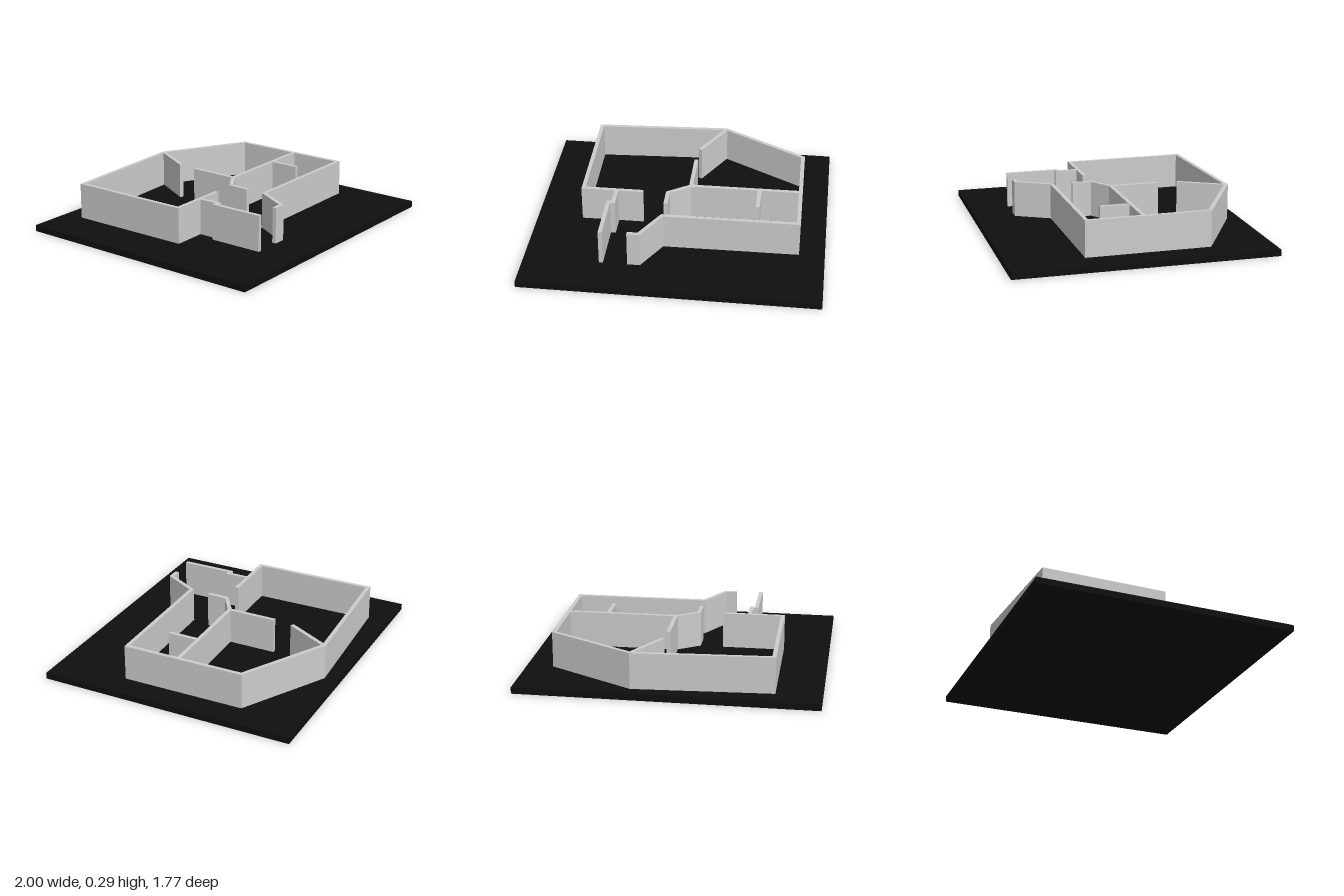
import * as THREE from 'three';

const BASE_H = 0.043, TOP = 0.288, THICK = 0.027;

// Upright wall of constant thickness along a floor-plan path of [x, z] points, with mitred corners
function wall(name, path, material) {
  const pts = path.map(([x, z]) => new THREE.Vector2(x, -z));
  const left = [], right = [];
  pts.forEach((p, i) => {
    const before = pts[Math.max(i - 1, 0)], after = pts[Math.min(i + 1, pts.length - 1)];
    const dirIn = (i ? p.clone().sub(before) : after.clone().sub(p)).normalize();
    const dirOut = (i < pts.length - 1 ? after.clone().sub(p) : dirIn.clone()).normalize();
    const nIn = new THREE.Vector2(-dirIn.y, dirIn.x);
    const miter = nIn.clone().add(new THREE.Vector2(-dirOut.y, dirOut.x)).normalize();
    miter.multiplyScalar(THICK / 2 / miter.dot(nIn));
    left.push(p.clone().add(miter));
    right.unshift(p.clone().sub(miter));
  });
  const geo = new THREE.ExtrudeGeometry(new THREE.Shape([...left, ...right]), {
    depth: TOP - BASE_H, bevelEnabled: false,
  });
  geo.rotateX(-Math.PI / 2).translate(0, BASE_H, 0);
  const mesh = new THREE.Mesh(geo, material);
  mesh.name = name;
  return mesh;
}

export function createModel() {
  const model = new THREE.Group();
  model.name = 'floorPlan';
  const grey = new THREE.MeshStandardMaterial({ color: 0xcccccc, flatShading: true });
  const black = new THREE.MeshStandardMaterial({ color: 0x0f0f0f });

  // Ground slab
  const base = new THREE.Mesh(new THREE.BoxGeometry(2, BASE_H, 1.772), black);
  base.position.y = BASE_H / 2;
  base.name = 'baseSlab';
  model.add(base);

  // Walls, as floor-plan centre lines
  const walls = {
    outerWall: [[-0.262, 0.098], [-0.675, 0.102], [-0.685, -0.732], [0.233, -0.784],
      [0.807, -0.464], [0.814, 0.361], [-0.096, 0.372], [-0.222, 0.6], [-0.3, 0.6]],
    backPartition: [[0.232, -0.78], [0.07, -0.482]],
    hallPartition: [[0.056, -0.345], [0.056, -0.007], [-0.092, 0.092], [-0.092, 0.232]],
    crossPartition: [[0.056, -0.007], [0.808, -0.016]],
    closetPartition: [[0.53, -0.012], [0.53, 0.202]],
    entranceWall: [[-0.445, 0.1], [-0.445, 0.254], [-0.478, 0.254], [-0.476, 0.615]],
  };
  for (const [name, path] of Object.entries(walls)) model.add(wall(name, path, grey));
  return model;
}
